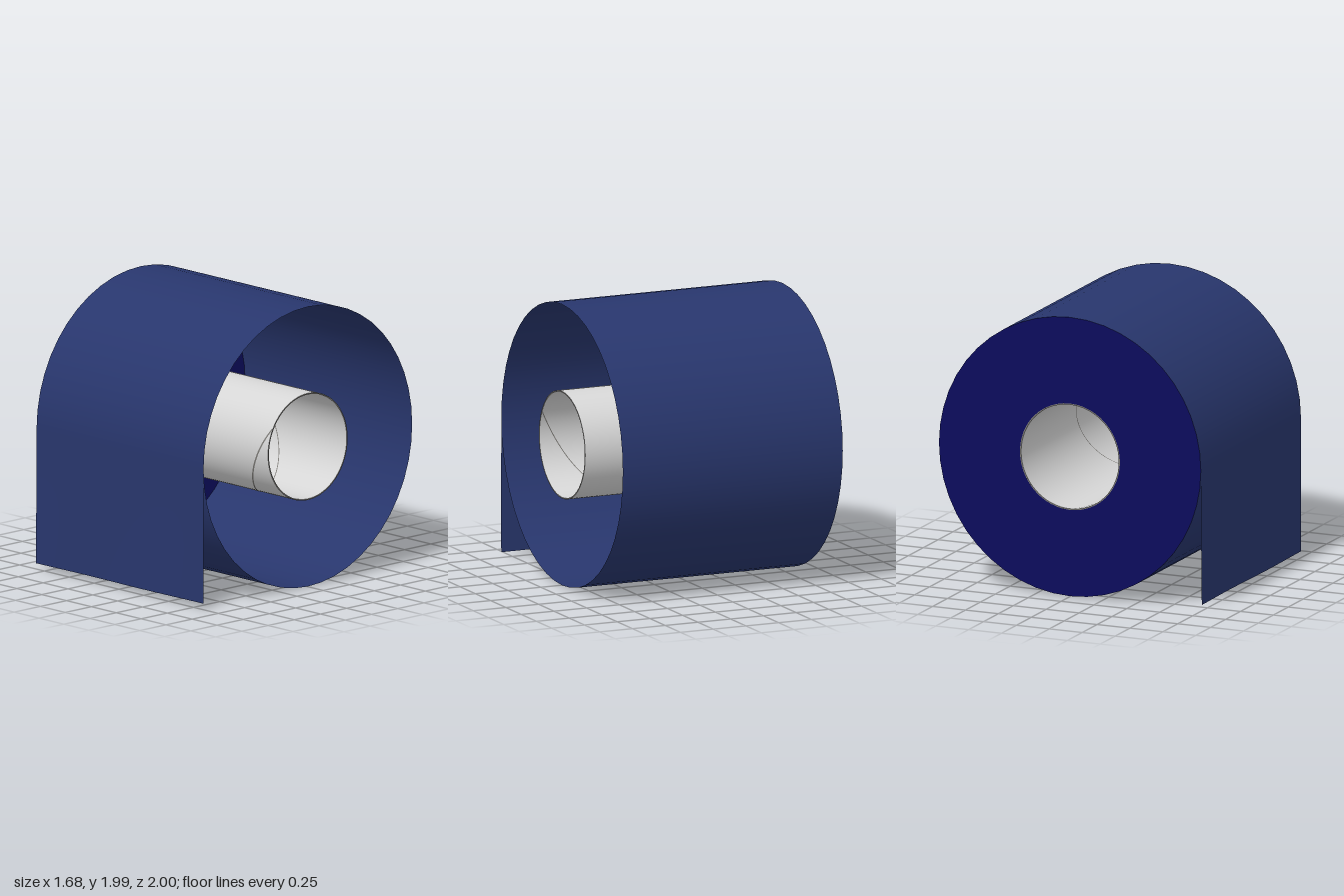
import * as THREE from 'three';

const R = 0.995, CORE = 0.38, WALL = 0.009, HALF = 0.84;
const CY = 0.995, CZ = -0.005;

function material(name, color) {
  const m = new THREE.MeshStandardMaterial({ color, side: THREE.DoubleSide });
  m.name = name;
  return m;
}

// Open cylinder lying along x
function sleeve(radius, segments) {
  return new THREE.CylinderGeometry(radius, radius, HALF * 2, segments, 1, true).rotateZ(-Math.PI / 2);
}

// Flat ring facing +x (side 1) or -x (side -1)
function ring(inner, outer, segments, side) {
  return new THREE.RingGeometry(inner, outer, segments, 1)
    .rotateY(side * Math.PI / 2).translate(side * HALF, 0, 0);
}

// Thin ribbon winding along the core
function spiral(radius, width) {
  const steps = 120, pos = [], normal = [], index = [];
  const pitch = 1.27;
  for (let i = 0; i <= steps; i++) {
    const x = -HALF + (2 * HALF * i) / steps;
    for (const side of [-1, 1]) {
      const px = THREE.MathUtils.clamp(x + side * width / 2, -HALF, HALF);
      const a = 0.49 + ((x - HALF) / pitch) * Math.PI * 2;
      pos.push(px, radius * Math.sin(a), radius * Math.cos(a));
      normal.push(0, Math.sin(a), Math.cos(a));
    }
    if (i < steps) {
      const k = i * 2;
      index.push(k, k + 1, k + 2, k + 1, k + 3, k + 2);
    }
  }
  const g = new THREE.BufferGeometry();
  g.setAttribute('position', new THREE.Float32BufferAttribute(pos, 3));
  g.setAttribute('normal', new THREE.Float32BufferAttribute(normal, 3));
  g.setIndex(index);
  return g;
}

// Loose end of the sheet, hanging straight with a faint ripple
function sheet() {
  const bottom = 0.04;
  const g = new THREE.PlaneGeometry(HALF * 2, CY - bottom, 24, 16);
  g.translate(0, (CY + bottom) / 2, 0);
  const p = g.attributes.position;
  for (let i = 0; i < p.count; i++) {
    const t = (CY - p.getY(i)) / (CY - bottom);
    const ripple = 0.004 * Math.sin(p.getX(i) * 5 - 1.3 + t * 1.5);
    p.setZ(i, CZ + R + t * t * (0.004 + ripple));
  }
  g.computeVertexNormals();
  return g;
}

export function createModel() {
  const model = new THREE.Group();
  model.name = 'paperRoll';
  const blue = material('paperBlue', 0x28366d);
  const navy = material('endNavy', 0x0c0c5c);
  const grey = material('coreGrey', 0xd6d6d6);
  const edge = material('edgeGrey', 0x7c7a76);

  const roll = new THREE.Group();
  roll.name = 'roll';
  roll.position.set(0, CY, CZ);
  model.add(roll);

  const add = (parent, name, geometry, mat) => {
    const mesh = new THREE.Mesh(geometry, mat);
    mesh.name = name;
    parent.add(mesh);
  };

  // Wound paper: outer surface and one closed end
  add(roll, 'paperSurface', sleeve(R, 48), blue);
  add(roll, 'paperEnd', ring(CORE, R, 48, -1), navy);

  // Cardboard core with rims and spiral seam
  add(roll, 'coreOutside', sleeve(CORE, 64), grey);
  add(roll, 'coreInside', sleeve(CORE - WALL, 64), grey);
  for (const side of [-1, 1]) add(roll, 'coreRim', ring(CORE - WALL, CORE, 64, side), edge);
  add(roll, 'seamOutside', spiral(CORE + 0.002, 0.014), edge);
  add(roll, 'seamInside', spiral(CORE - WALL - 0.002, 0.008), edge);

  add(model, 'looseSheet', sheet(), blue);
  return model;
}
